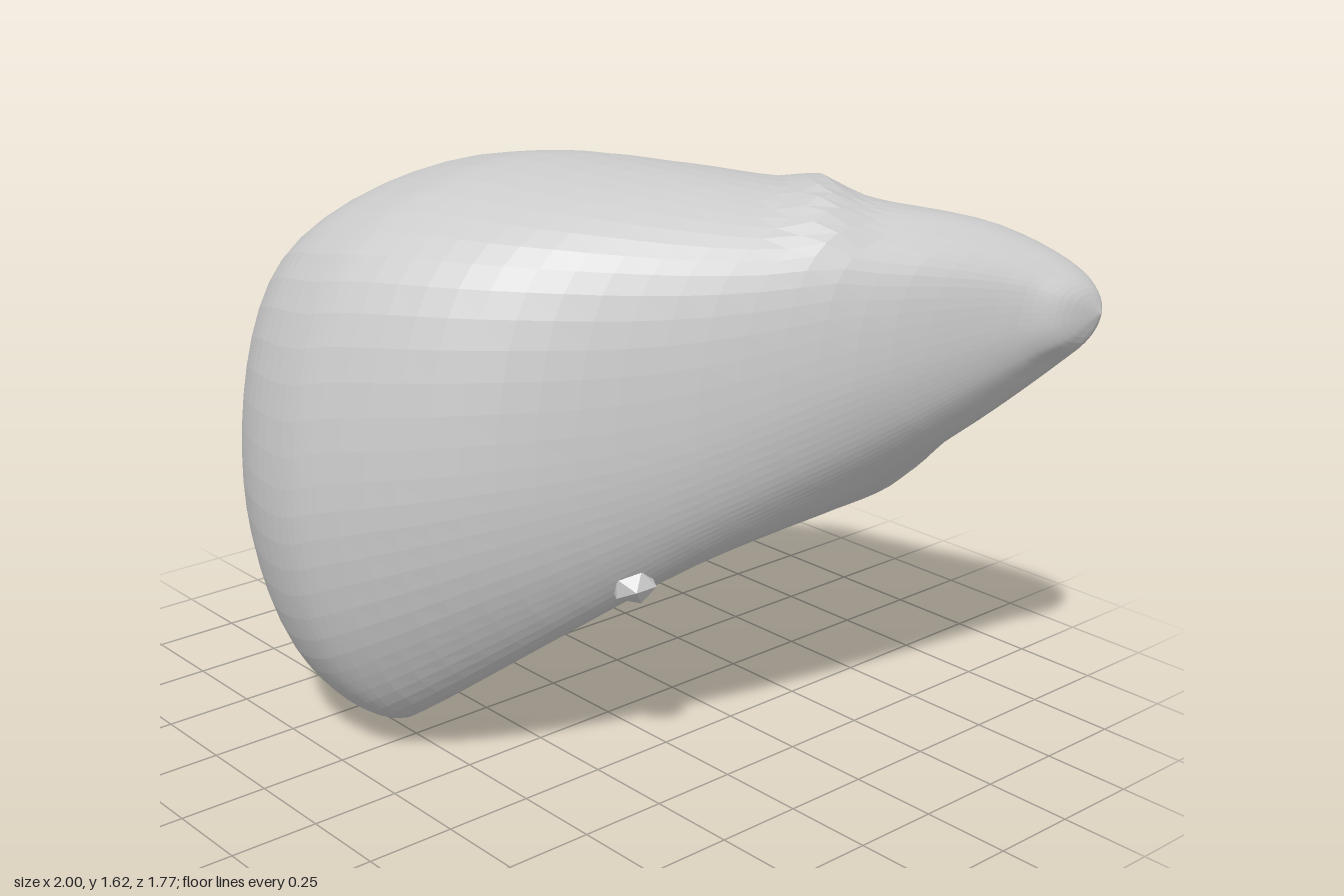
import * as THREE from 'three';

// Guide rails running from the blunt end to the tip: [z, y] at each station x
const STATIONS = [-.91, -.7, -.48, -.27, -.14, .2, .5, .75, .92];
const RIM = [[.22, .54], [.4, .19], [.42, .01], [.53, .06], [.57, .13], [.4, .4], [.08, .68], [-.4, .92], [-.7, 1.13]];
const FRONT = [[.43, .85], [.73, .8], [.86, .8], [.89, .8], [.86, .84], [.66, .92], [.27, .99], [-.17, 1.14], [-.59, 1.23]];
const TOP = [[.08, 1.18], [.1, 1.43], [.1, 1.56], [.09, 1.61], [.07, 1.625], [0, 1.61], [-.18, 1.56], [-.52, 1.495], [-.74, 1.385]];
const BACK = [[-.22, .92], [-.38, .98], [-.53, 1], [-.57, 1], [-.62, 1.06], [-.75, 1.22], [-.79, 1.31], [-.84, 1.35], [-.88, 1.3]];
const HEEL = [[-.12, .62], [-.34, .58], [-.47, .52], [-.5, .5], [-.53, .71], [-.6, .72], [-.64, .74], [-.76, 1.03], [-.86, 1.18]];
const HOLLOW = [[.05, .54], [0, .32], [0, .16], [0, .29], [.04, .46], [-.1, .67], [-.24, .68], [-.58, .92], [-.78, 1.12]];

const BLUNT_END = new THREE.Vector3(-1, .85, .04);
const TIP = new THREE.Vector3(1, 1.26, -.83);
const ROWS = 60, AROUND = 66;

// A rail closes on both ends, with one extra point near each to round it off
function makeRail(points) {
  const path = points.map(([z, y], i) => new THREE.Vector3(STATIONS[i], y, z));
  const nearBlunt = BLUNT_END.clone().lerp(path[0], .53).setX(-.975);
  const nearTip = TIP.clone().lerp(path[path.length - 1], .55).setX(.975);
  return new THREE.CatmullRomCurve3([BLUNT_END, nearBlunt, ...path, nearTip, TIP]);
}

// Point on the rounded corner between a side rail and a top or bottom rail
function corner(side, cap, fullness) {
  return new THREE.Vector3(
    side.x,
    THREE.MathUtils.lerp(side.y, cap.y, fullness),
    THREE.MathUtils.lerp(cap.z, side.z, fullness),
  );
}

// Raised seam between the lobes: a soft crest along a line across the top
function addCrest(p) {
  const start = new THREE.Vector2(.12, -.66);
  const dir = new THREE.Vector2(.56, .54);
  const length = dir.length();
  dir.normalize();
  const rel = new THREE.Vector2(p.x, p.z).sub(start);
  const along = rel.dot(dir), off = rel.cross(dir);
  const reach = THREE.MathUtils.smoothstep(along, -.1, .12)
    * (1 - THREE.MathUtils.smoothstep(along, length - .15, length + .1));
  p.y += .035 * Math.exp(-((off / .075) ** 2)) * reach * THREE.MathUtils.smoothstep(p.y, 1.1, 1.4);
}

// Loft closed cross-sections along the rails
function makeLobes() {
  const rails = [RIM, FRONT, TOP, BACK, HEEL, HOLLOW].map(makeRail);
  const pos = [], index = [];
  for (let i = 0; i <= ROWS; i++) {
    const [rim, front, top, back, heel, hollow] = rails.map(r => r.getPoint(i / ROWS));
    const section = new THREE.CatmullRomCurve3([
      rim, corner(front, rim, .7), front, corner(front, top, .77), top,
      corner(back, top, .7), back, heel, hollow,
    ], true);
    for (let j = 0; j < AROUND; j++) {
      // both ends collapse to a single point
      const p = i === 0 ? BLUNT_END.clone() : i === ROWS ? TIP.clone() : section.getPoint(j / AROUND);
      addCrest(p);
      pos.push(p.x, p.y, p.z);
    }
  }
  for (let i = 0; i < ROWS; i++) {
    for (let j = 0; j < AROUND; j++) {
      const a = i * AROUND + j, b = i * AROUND + (j + 1) % AROUND;
      const c = a + AROUND, d = b + AROUND;
      if (i > 0) index.push(a, c, b);
      if (i < ROWS - 1) index.push(c, d, b);
    }
  }
  const geo = new THREE.BufferGeometry();
  geo.setAttribute('position', new THREE.Float32BufferAttribute(pos, 3));
  geo.setIndex(index);
  geo.computeVertexNormals();
  return geo;
}

export function createModel() {
  const group = new THREE.Group();
  group.name = 'liver';
  const material = new THREE.MeshStandardMaterial({ color: 0xcccccc, flatShading: true });

  // Both lobes as one continuous skin
  const lobes = new THREE.Mesh(makeLobes(), material);
  lobes.name = 'lobes';
  group.add(lobes);

  // Small lug on the lower rim beside the notch
  const lug = new THREE.Mesh(new THREE.IcosahedronGeometry(.065, 0), material);
  lug.name = 'rimLug';
  lug.position.set(.39, .6, .25);
  lug.scale.set(1, .8, 1);
  group.add(lug);
  return group;
}
